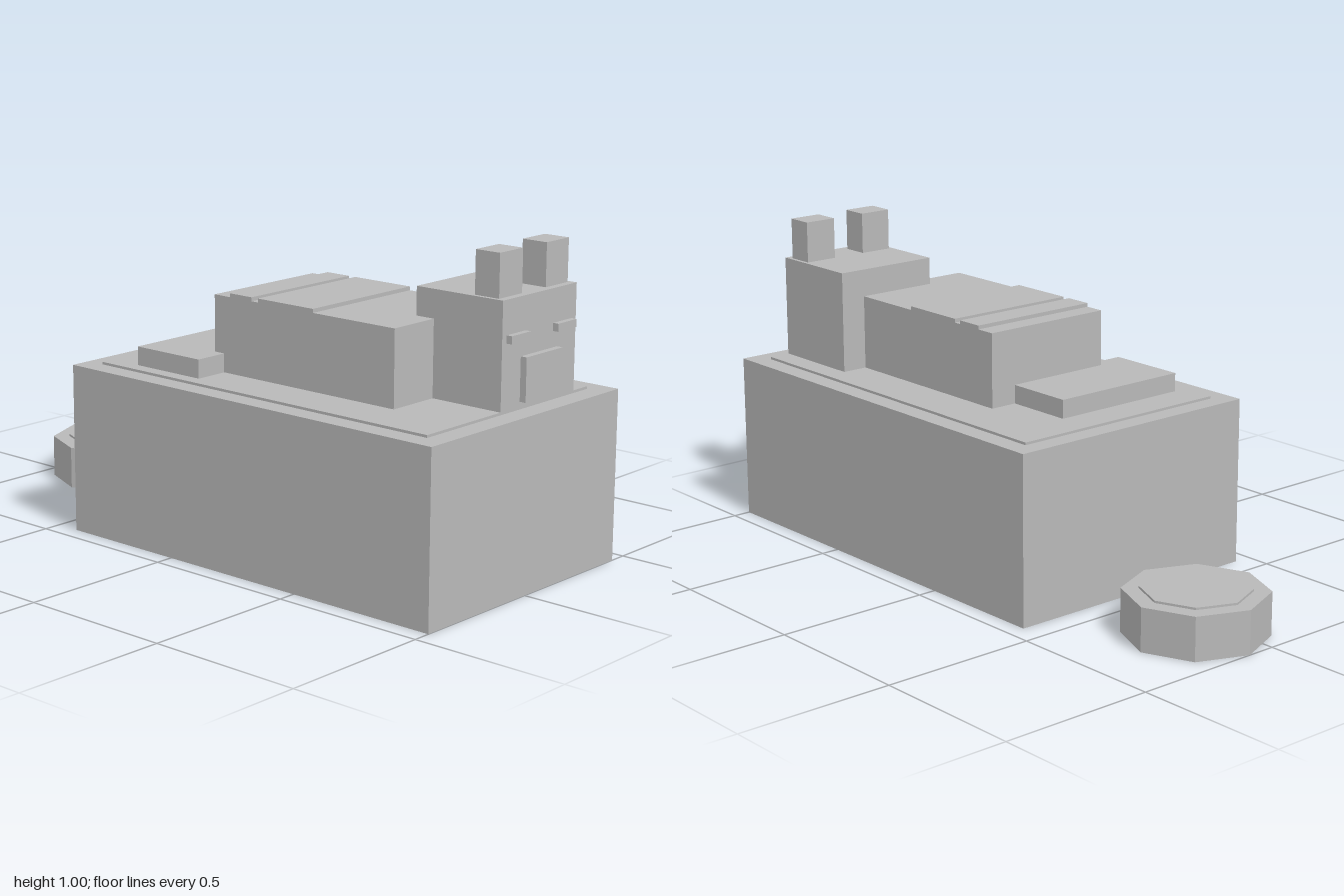
import * as THREE from 'three';

export function createModel() {
  const model = new THREE.Group();
  const grey = new THREE.MeshStandardMaterial({ color: 0xb8b8b8 });
  grey.name = 'plain grey';

  const add = (name, geometry, x, y, z) => {
    const mesh = new THREE.Mesh(geometry, grey);
    mesh.name = name;
    mesh.position.set(x, y, z);
    model.add(mesh);
  };

  // Box given by its extents along each axis
  const block = (name, [x0, x1], [y0, y1], [z0, z1]) =>
    add(name, new THREE.BoxGeometry(x1 - x0, y1 - y0, z1 - z0),
      (x0 + x1) / 2, (y0 + y1) / 2, (z0 + z1) / 2);

  // Eight-sided disc, faceted
  const disc = (name, radius, y0, y1) =>
    add(name, new THREE.CylinderGeometry(radius, radius, y1 - y0, 8).toNonIndexed(),
      -0.78, (y0 + y1) / 2, -0.091);

  // Bed with a thin blanket on top
  block('bed', [-0.42, 1], [0, 0.535], [-0.443, 0.443]);
  block('blanket', [-0.358, 0.932], [0.535, 0.543], [-0.38, 0.377]);

  // Lying animal: body, two raised back bands, tail
  const bodyZ = [-0.225, 0.222];
  block('body', [-0.022, 0.685], [0.543, 0.78], bodyZ);
  block('rearBand', [0.042, 0.13], [0.78, 0.792], bodyZ);
  block('frontBand', [0.156, 0.375], [0.78, 0.792], bodyZ);
  block('tail', [-0.245, 0.016], [0.543, 0.602], [-0.135, 0.333]);

  // Head facing +x, with muzzle, and an ear and eye on each side
  block('head', [0.62, 0.932], [0.543, 0.868], [-0.31, 0.045]);
  block('muzzle', [0.932, 0.953], [0.558, 0.692], [-0.22, -0.045]);
  for (const [side, earZ, eyeZ] of [['right', -0.244, -0.243], ['left', -0.022, -0.02]]) {
    block(side + 'Ear', [0.822, 0.908], [0.868, 1], [earZ - 0.054, earZ + 0.054]);
    block(side + 'Eye', [0.932, 0.951], [0.741, 0.765], [eyeZ - 0.045, eyeZ + 0.045]);
  }

  // Food bowl on the floor; flat shading through separate facet normals
  disc('bowl', 0.22, 0, 0.137);
  disc('bowlFilling', 0.167, 0.137, 0.144);
  model.children.slice(-2).forEach((m) => m.geometry.computeVertexNormals());

  return model;
}
